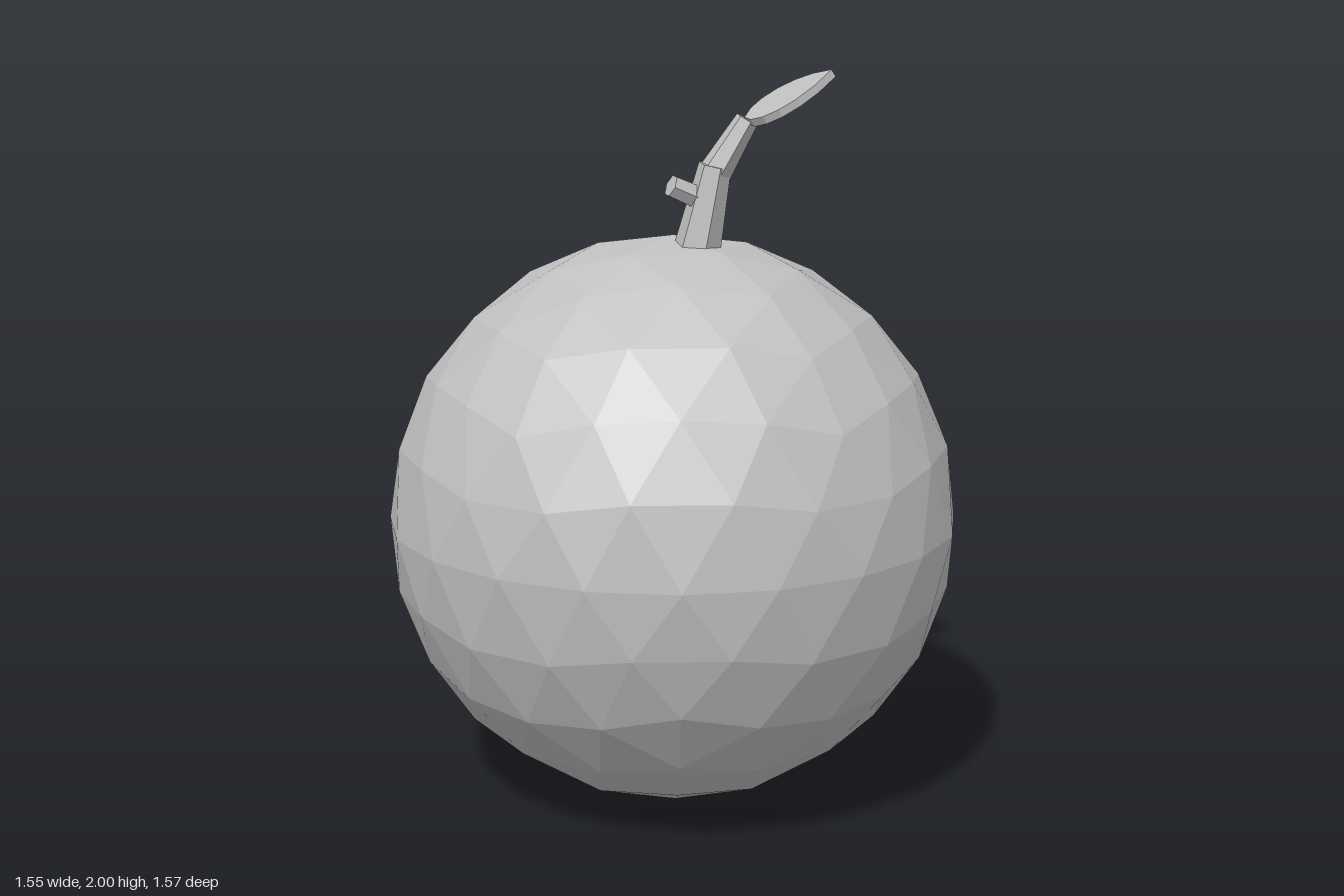
import * as THREE from 'three';

const grey = new THREE.MeshStandardMaterial({ color: 0xc0c0c0, flatShading: true });
grey.name = 'plain grey';

const V = (x, y, z) => new THREE.Vector3(x, y, z);

export function createModel() {
  const model = new THREE.Group();
  const add = (name, geometry) => {
    const mesh = new THREE.Mesh(geometry, grey);
    mesh.name = name;
    model.add(mesh);
    return mesh;
  };

  // Oval plate whose front face is centred on p and looks along n
  const plate = (name, p, n, rx, ry, depth, sides) => {
    const g = new THREE.CylinderGeometry(1, 1, depth, sides);
    g.rotateX(Math.PI / 2).translate(0, 0, -depth / 2).scale(rx, ry, 1);
    const mesh = add(name, g);
    mesh.position.copy(p);
    mesh.lookAt(p.clone().add(n));
    return mesh;
  };

  // Tapered, faceted rod between two points
  const rod = (name, a, b, ra, rb, sides) => {
    const d = b.clone().sub(a);
    const mesh = add(name, new THREE.CylinderGeometry(rb, ra, d.length(), sides));
    mesh.position.copy(a).add(b).multiplyScalar(0.5);
    mesh.quaternion.setFromUnitVectors(V(0, 1, 0), d.normalize());
  };

  // Round body: icosahedron split twice, each time pushed out to the sphere
  const once = new THREE.IcosahedronGeometry(1, 1).getAttribute('position');
  const corners = Array.from(once.array);
  const body = new THREE.PolyhedronGeometry(corners, corners.slice(0, once.count).map((_, i) => i), 0.777, 1);
  body.rotateZ(-Math.atan(2 / (1 + Math.sqrt(5)))).translate(0, 0.78, 0);
  add('body', body);

  // Eyes and cheeks on the back
  for (const s of [-1, 1]) {
    const side = s > 0 ? 'left' : 'right';
    const n = V(0.3 * s, 0.53, -0.79).normalize();
    plate(side + 'Eye', V(0.225 * s, 1.21, -0.618), n, 0.14, 0.175, 0.055, 12);
    plate(side + 'Pupil', V(0.25 * s, 1.207, -0.642), n, 0.092, 0.118, 0.04, 10);
    // Glints sit on the same side in both eyes
    const glint = V(0.25 * s + 0.025, 0, -0.642);
    const shift = V(0.025, 0.035, 0);
    shift.z = -(shift.x * n.x + shift.y * n.y) / n.z;
    glint.set(0.25 * s, 1.207, -0.642).add(shift).addScaledVector(n, 0.009);
    plate(side + 'Glint', glint, n, 0.026, 0.032, 0.02, 8);

    const cheekDir = V(0.366 * s, 0.22, -0.65).normalize();
    plate(side + 'Cheek', cheekDir.clone().multiplyScalar(0.782).add(V(0, 0.78, 0)), cheekDir, 0.093, 0.06, 0.035, 10);
  }

  // Muzzle with a thin half-moon mouth
  const muzzleDir = V(0, 0.165, -0.986);
  plate('muzzle', V(0, 0.905, -0.768), muzzleDir, 0.183, 0.168, 0.06, 18);
  const moon = new THREE.Shape();
  moon.moveTo(-0.09, -0.02);
  moon.quadraticCurveTo(0, 0.07, 0.09, -0.02);
  moon.quadraticCurveTo(0, 0.005, -0.09, -0.02);
  const mouth = add('mouth', new THREE.ExtrudeGeometry(moon, { depth: 0.008, bevelEnabled: false, curveSegments: 6 }));
  mouth.position.set(0, 0.85, -0.777);
  mouth.lookAt(mouth.position.clone().add(muzzleDir));

  // Stem and twig
  rod('lowerStem', V(0.038, 1.52, 0.08), V(0.08, 1.75, 0.105), 0.064, 0.044, 6);
  rod('upperStem', V(0.075, 1.72, 0.1), V(0.16, 1.87, 0.13), 0.045, 0.031, 6);
  rod('twig', V(0.05, 1.66, 0.09), V(-0.04, 1.7, 0.095), 0.034, 0.031, 6);

  // Leaf: rounded base, pointed tip
  const outline = new THREE.Shape();
  outline.moveTo(0, 0);
  outline.bezierCurveTo(0.02, 0.12, 0.16, 0.14, 0.26, 0);
  outline.bezierCurveTo(0.16, -0.14, 0.02, -0.12, 0, 0);
  const leafGeo = new THREE.ExtrudeGeometry(outline, { depth: 0.022, bevelEnabled: false, curveSegments: 6 });
  leafGeo.translate(0, 0, -0.011);
  const leaf = add('leaf', leafGeo);
  const along = V(0.2, 0.125, 0.105).normalize();
  const up = V(0.05, 0.03, -0.185).cross(along).negate().normalize();
  if (up.y < 0) up.negate();
  leaf.quaternion.setFromRotationMatrix(new THREE.Matrix4().makeBasis(along, up.clone().cross(along), up));
  leaf.position.set(0.158, 1.867, 0.13);

  return model;
}
